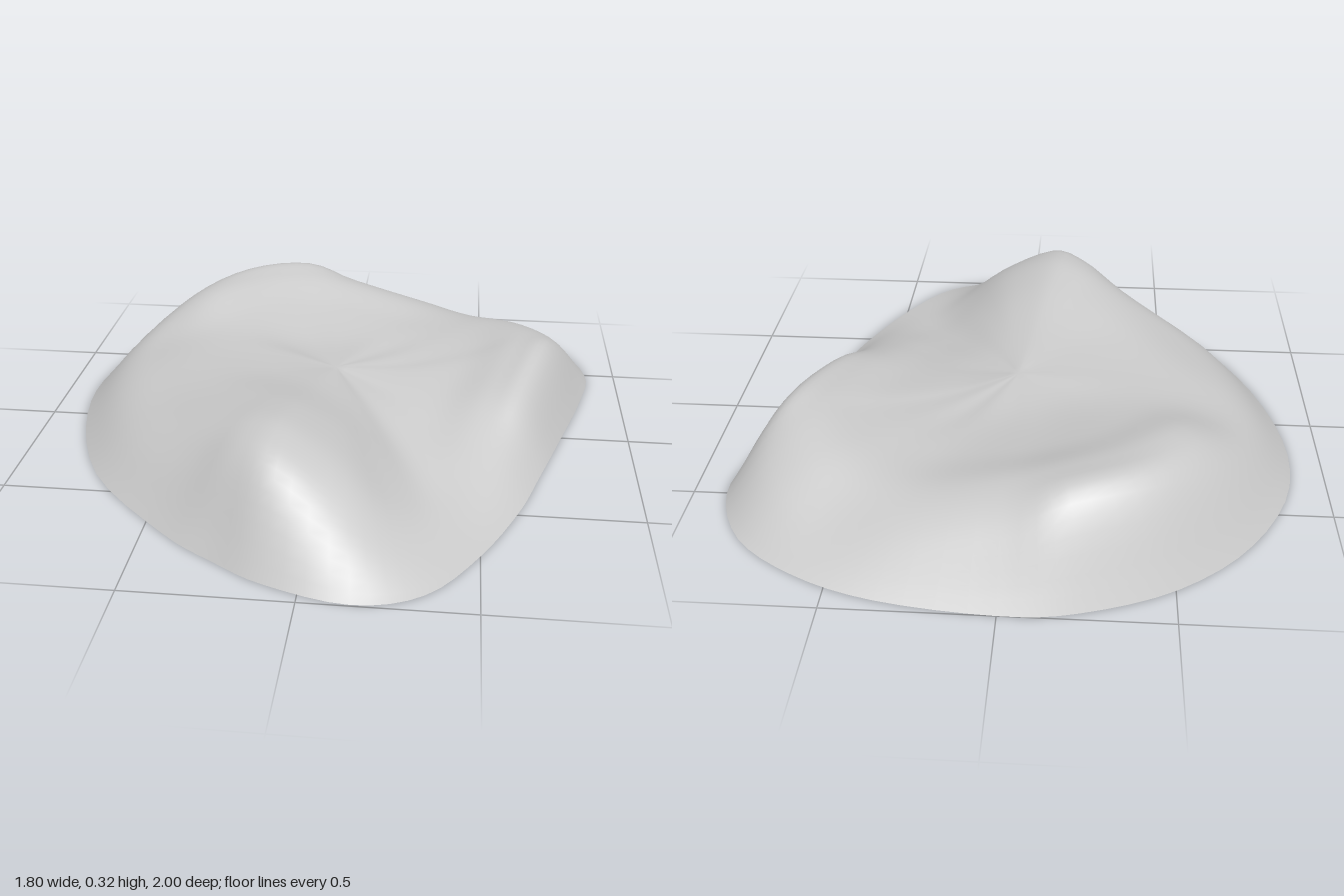
import * as THREE from 'three';

// Each row is one spoke of the mound, clockwise from the back:
// rim x, rim z, then heights at the fractions below on the way to the centre.
const FRACTIONS = [0.85, 0.7, 0.5, 0.25];
const SPOKES = [
  [0, -1, 0.19, 0.25, 0.22, 0.195],
  [0.35, -0.96, 0.13, 0.19, 0.19, 0.19],
  [0.6, -0.87, 0.1, 0.175, 0.185, 0.18],
  [0.8, -0.72, 0.13, 0.2, 0.19, 0.18],
  [0.895, -0.5, 0.17, 0.225, 0.19, 0.175],
  [0.86, -0.28, 0.215, 0.225, 0.185, 0.175],
  [0.76, 0.05, 0.18, 0.19, 0.16, 0.17],
  [0.69, 0.27, 0.11, 0.145, 0.14, 0.165],
  [0.62, 0.48, 0.065, 0.1, 0.12, 0.165],
  [0.5, 0.73, 0.03, 0.06, 0.11, 0.17],
  [0.35, 0.93, 0.05, 0.11, 0.165, 0.195],
  [0.15, 0.995, 0.13, 0.22, 0.24, 0.22],
  [-0.1, 0.93, 0.25, 0.31, 0.295, 0.24],
  [-0.26, 0.84, 0.24, 0.31, 0.3, 0.245],
  [-0.44, 0.71, 0.17, 0.265, 0.285, 0.245],
  [-0.73, 0.4, 0.13, 0.2, 0.25, 0.24],
  [-0.88, 0, 0.13, 0.195, 0.235, 0.235],
  [-0.885, -0.35, 0.15, 0.205, 0.235, 0.23],
  [-0.74, -0.65, 0.215, 0.285, 0.25, 0.215],
  [-0.51, -0.86, 0.27, 0.3, 0.25, 0.205],
  [-0.23, -0.975, 0.27, 0.29, 0.235, 0.2],
];
const CENTRE = new THREE.Vector3(0, 0.205, -0.05);
const AROUND = 84;
const INWARD = 30;

// Closed smooth loop through all spokes at one fraction of the radius
function contour(fraction, column) {
  const points = SPOKES.map((s) => new THREE.Vector3(
    THREE.MathUtils.lerp(CENTRE.x, s[0], fraction),
    column ? s[column] : 0,
    THREE.MathUtils.lerp(CENTRE.z, s[1], fraction)
  ));
  return new THREE.CatmullRomCurve3(points, true, 'catmullrom', 0.5);
}

function moundGeometry() {
  const contours = [contour(1, 0), ...FRACTIONS.map((f, i) => contour(f, i + 2))];
  const positions = [];
  const index = [];

  // Sample a smooth profile from the rim to the centre for every direction
  for (let i = 0; i < AROUND; i++) {
    const knots = contours.map((c) => c.getPoint(i / AROUND));
    const profile = new THREE.CatmullRomCurve3([...knots, CENTRE], false, 'catmullrom', 0.5);
    for (let j = 0; j < INWARD; j++) {
      const p = profile.getPoint(j / INWARD);
      positions.push(p.x, Math.max(0, p.y), p.z);
    }
  }
  const tip = positions.length / 3;
  positions.push(CENTRE.x, CENTRE.y, CENTRE.z);

  // Stitch neighbouring profiles, closing on the centre point
  for (let i = 0; i < AROUND; i++) {
    const a = i * INWARD;
    const b = ((i + 1) % AROUND) * INWARD;
    for (let j = 0; j < INWARD - 1; j++) {
      index.push(a + j, a + j + 1, b + j, a + j + 1, b + j + 1, b + j);
    }
    index.push(a + INWARD - 1, tip, b + INWARD - 1);
  }

  const geometry = new THREE.BufferGeometry();
  geometry.setAttribute('position', new THREE.Float32BufferAttribute(positions, 3));
  geometry.setIndex(index);
  geometry.computeVertexNormals();
  return geometry;
}

export function createModel() {
  const model = new THREE.Group();
  model.name = 'terrainMound';

  // Thin open shell, hollow underneath
  const material = new THREE.MeshStandardMaterial({ color: 0xcccccc, side: THREE.DoubleSide });
  const mound = new THREE.Mesh(moundGeometry(), material);
  mound.name = 'moundShell';
  model.add(mound);
  return model;
}
